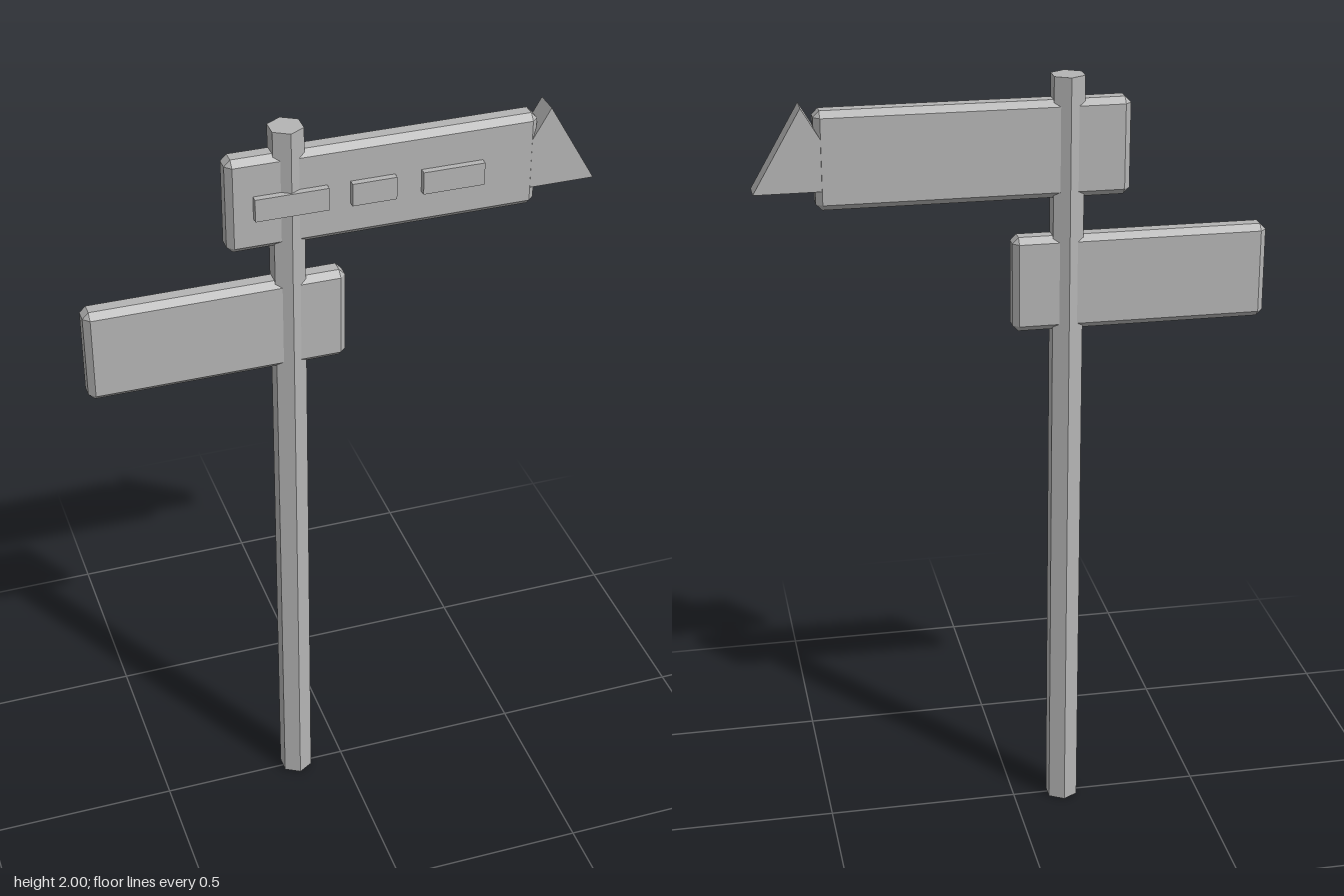
import * as THREE from 'three';
import { ConvexGeometry } from 'three/addons/geometries/ConvexGeometry.js';

const Z = -0.003;      // shared depth centre of post and boards
const HALF = 0.031;    // half thickness of a board
const BEVEL = 0.0155;

// Box with every edge chamfered: hull of three boxes, each full size along one axis
function chamferedBox(w, h, d, b) {
  const points = [];
  for (const sx of [-1, 1]) for (const sy of [-1, 1]) for (const sz of [-1, 1]) {
    for (let axis = 0; axis < 3; axis++) {
      const [x, y, z] = [w / 2, h / 2, d / 2].map((s, i) => (i === axis ? s : s - b));
      points.push(new THREE.Vector3(sx * x, sy * y, sz * z));
    }
  }
  return new ConvexGeometry(points);
}

export function createModel() {
  const group = new THREE.Group();
  const grey = new THREE.MeshStandardMaterial({ color: 0xb4b4b4, flatShading: true });
  grey.name = 'grey';

  const add = (name, geometry, x, y, z) => {
    const mesh = new THREE.Mesh(geometry, grey);
    mesh.name = name;
    mesh.position.set(x, y, z);
    group.add(mesh);
  };

  // Hexagonal post with a corner facing the front
  add('post', new THREE.CylinderGeometry(0.044, 0.044, 2, 6), -0.132, 1, Z);

  // Two boards pointing opposite ways
  const board = (name, x0, x1, y0, y1) =>
    add(name, chamferedBox(x1 - x0, y1 - y0, HALF * 2, BEVEL), (x0 + x1) / 2, (y0 + y1) / 2, Z);
  board('upperBoard', -0.285, 0.485, 1.7, 1.943);
  board('lowerBoard', -0.638, 0.007, 1.36, 1.603);

  // Triangular arrow tip, set into the end of the upper board
  const triangle = new THREE.Shape([
    new THREE.Vector2(0.396, 1.75),
    new THREE.Vector2(0.635, 1.75),
    new THREE.Vector2(0.515, 1.955),
  ]);
  const depth = HALF * 2 - 0.001;
  add('arrowTip', new THREE.ExtrudeGeometry(triangle, { depth, bevelEnabled: false }), 0, 0, Z - depth / 2);

  // Raised bars on the upper board
  for (const [x0, x1] of [[-0.222, -0.042], [0.015, 0.125], [0.191, 0.345]]) {
    add('raisedBar', new THREE.BoxGeometry(x1 - x0, 0.058, 0.025), (x0 + x1) / 2, 1.818, 0.0325);
  }

  return group;
}
